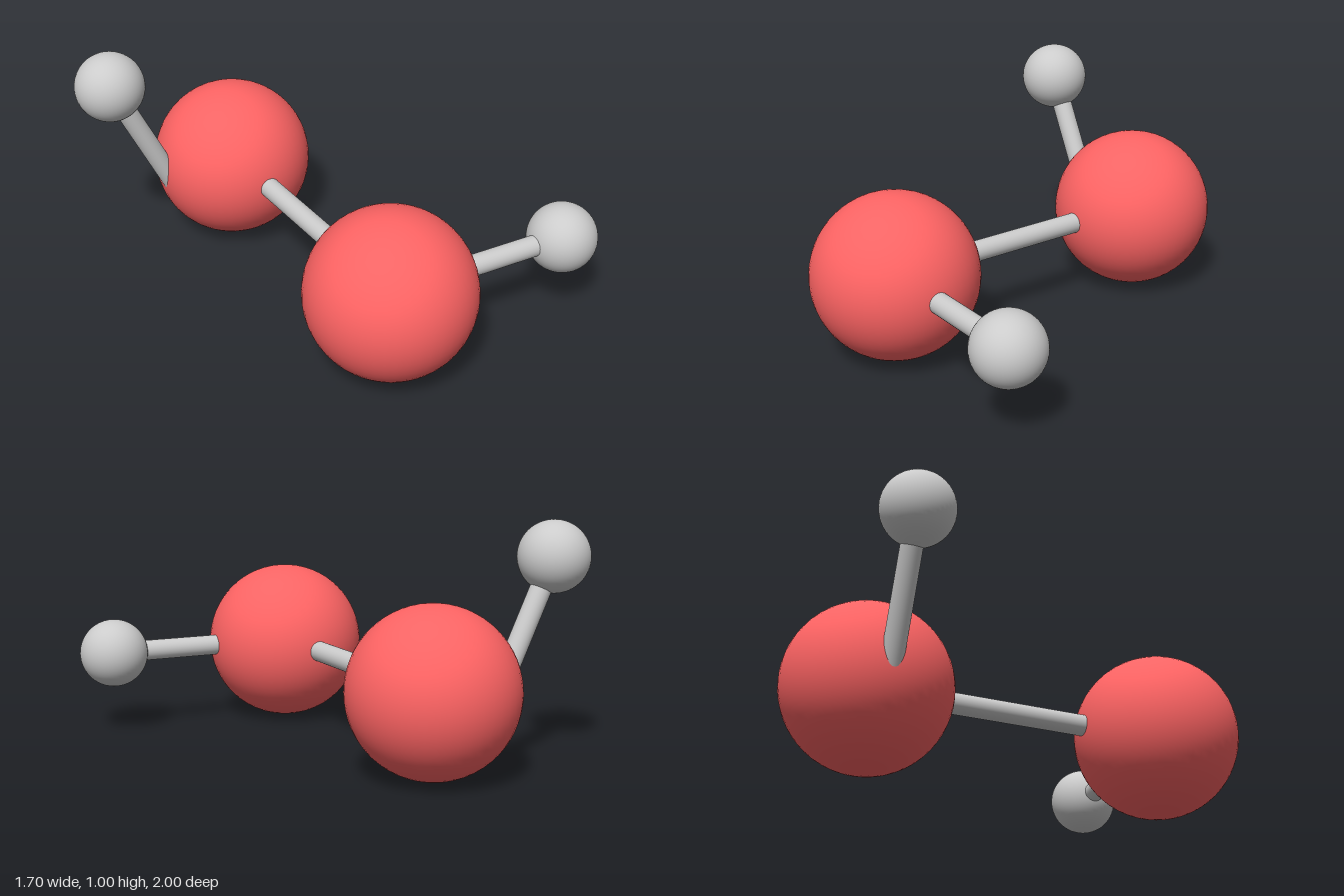
import * as THREE from 'three';

const red = new THREE.MeshStandardMaterial({ color: 0xff6464 });
const grey = new THREE.MeshStandardMaterial({ color: 0xcccccc });

function ball(name, radius, position, material) {
  const mesh = new THREE.Mesh(new THREE.SphereGeometry(radius, 48, 32), material);
  mesh.name = name;
  mesh.position.copy(position);
  return mesh;
}

// Round rod running from a to b
function rod(name, a, b) {
  const span = b.clone().sub(a);
  const mesh = new THREE.Mesh(new THREE.CylinderGeometry(0.045, 0.045, span.length(), 32), grey);
  mesh.name = name;
  mesh.position.copy(a).addScaledVector(span, 0.5);
  mesh.quaternion.setFromUnitVectors(new THREE.Vector3(0, 1, 0), span.normalize());
  return mesh;
}

export function createModel() {
  const model = new THREE.Group();
  model.name = 'ballAndStickMolecule';

  const frontLarge = new THREE.Vector3(-0.13, 0.355, 0.648);
  const backLarge = new THREE.Vector3(-0.13, 0.355, -0.648);
  const frontSmall = new THREE.Vector3(0.7, 0.357, 0.697);
  const backSmall = new THREE.Vector3(-0.7, 0.858, -0.648);
  // The raised rod enters the side of its large ball off-centre
  const backRodEnd = new THREE.Vector3(-0.38, 0.2, -0.648);

  model.add(
    // Large atoms
    ball('frontLargeAtom', 0.352, frontLarge, red),
    ball('backLargeAtom', 0.352, backLarge, red),
    // Small atoms
    ball('frontSmallAtom', 0.15, frontSmall, grey),
    ball('backSmallAtom', 0.15, backSmall, grey),
    // Bonds
    rod('centreBond', frontLarge, backLarge),
    rod('frontBond', frontLarge, frontSmall),
    rod('backBond', backSmall, backRodEnd),
  );
  return model;
}
